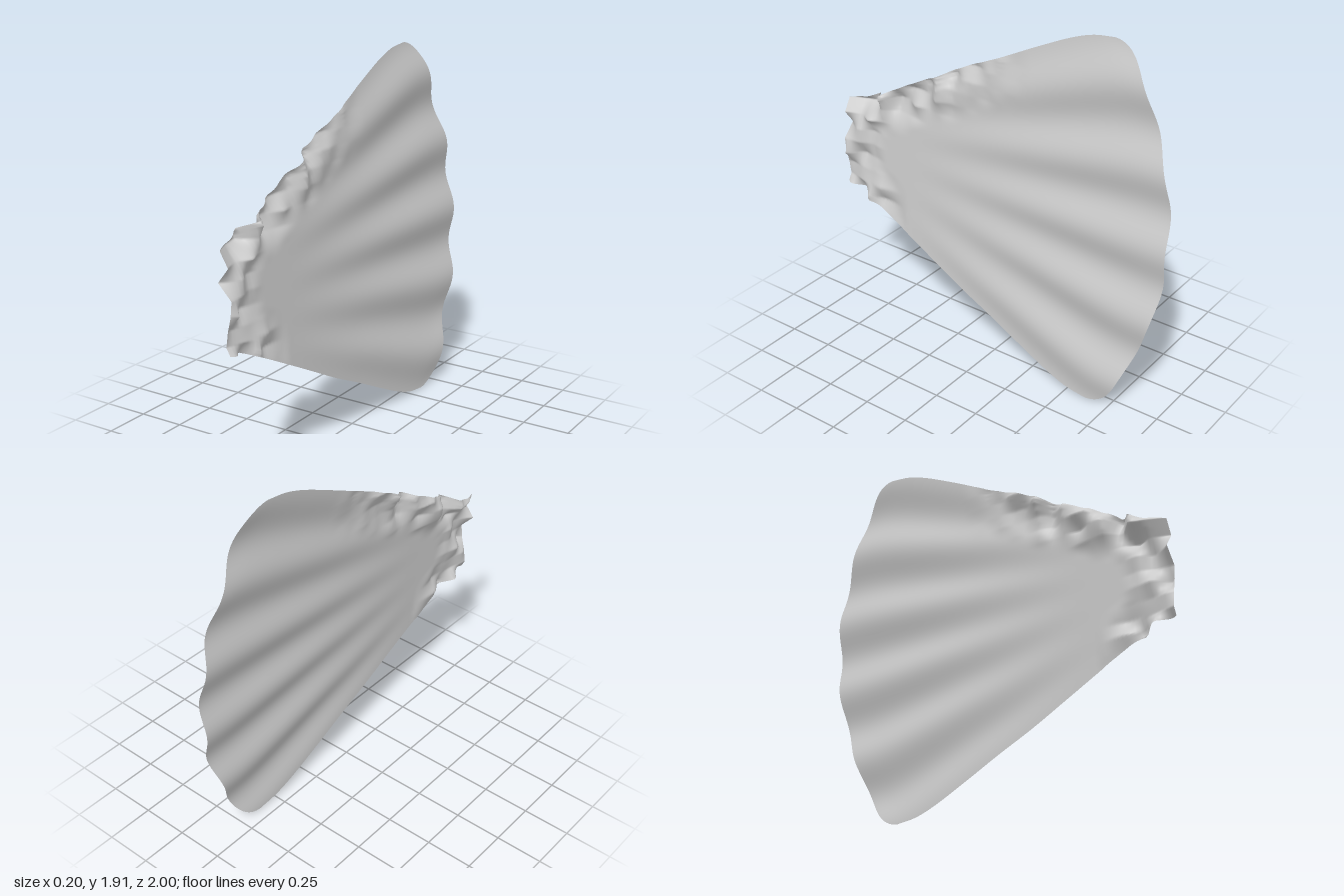
import * as THREE from 'three';

const MID = 0.955; // height of the fan's centre line
const ROWS = 90, COLS = 110;

const spline = (t, v) => {
  const s = new THREE.CubicInterpolant(new Float32Array(t), new Float32Array(v), 1);
  return (x) => s.evaluate(x)[0];
};

// Half height of the fan along its side edge, by distance from the narrow end
const halfHeight = spline(
  [0, 0.1, 0.2, 0.4, 0.6, 0.8, 1, 1.2, 1.4, 1.5, 1.61],
  [0.243, 0.263, 0.308, 0.41, 0.515, 0.62, 0.715, 0.815, 0.908, 0.941, 0.956]);

// Length of each ray from the narrow end to the rounded rim
const rayLength = spline(
  [-0.234, 0, 0.234, 0.386, 0.472, 0.692, 0.819, 1],
  [1.965, 2, 1.965, 1.9, 1.86, 1.77, 1.71, 1.61]);

// Seeded value noise for the torn, crumpled edge
const hash = (i, j) => {
  let h = Math.imul(i + 101, 374761393) ^ Math.imul(j + 57, 668265263);
  h = Math.imul(h ^ (h >>> 13), 1274126177);
  return ((h ^ (h >>> 16)) >>> 0) / 4294967295 * 2 - 1;
};
const noise = (x, y) => {
  const i = Math.floor(x), j = Math.floor(y), f = x - i, g = y - j;
  const { lerp } = THREE.MathUtils;
  return lerp(lerp(hash(i, j), hash(i + 1, j), f), lerp(hash(i, j + 1), hash(i + 1, j + 1), f), g);
};

// Sideways offset: tilt, radial ripples and crumpling
function offset(u, v, y, z) {
  const { smoothstep, clamp } = THREE.MathUtils;
  const tilt = -0.02 * z - 0.075 * (y - MID);
  const ripple = 0.019 * smoothstep(u, 0.2, 0.95) * Math.cos(15.4 * v);
  const edge = (1 - Math.abs(v)) * halfHeight(u * 1.61);
  const reach = v > 0 ? 1.15 : 0.42;
  const side = (1 - smoothstep(edge, 0.04, 0.24)) * clamp((reach - (1 - z)) / (reach * 0.7), 0, 1);
  const root = 1 - smoothstep(1 - z, 0.06, 0.27);
  const crumple = Math.max(side, root);
  return tilt + ripple + crumple * (0.075 * noise(z / 0.075, y / 0.075) - 0.008);
}

export function createModel() {
  const group = new THREE.Group();
  group.name = 'fin';

  // Rays run from the narrow root to the rim
  const positions = [], index = [];
  for (let i = 0; i <= ROWS; i++) {
    const u = i / ROWS;
    for (let j = 0; j <= COLS; j++) {
      const t = (j / COLS) * 2 - 1;
      const v = Math.sin(t * Math.PI / 2);
      const y = MID + v * halfHeight(u * 1.61);
      const z = 1 - u * rayLength(Math.abs(t));
      positions.push(offset(u, v, y, z), y, z);
      if (i < ROWS && j < COLS) {
        const a = i * (COLS + 1) + j, b = a + COLS + 1;
        index.push(a, b, a + 1, b, b + 1, a + 1);
      }
    }
  }
  const geometry = new THREE.BufferGeometry();
  geometry.setAttribute('position', new THREE.Float32BufferAttribute(positions, 3));
  geometry.setIndex(index);
  geometry.computeVertexNormals();

  const material = new THREE.MeshStandardMaterial({ color: 0xcccccc, side: THREE.DoubleSide });
  const fin = new THREE.Mesh(geometry, material);
  fin.name = 'finMembrane';
  group.add(fin);
  return group;
}
